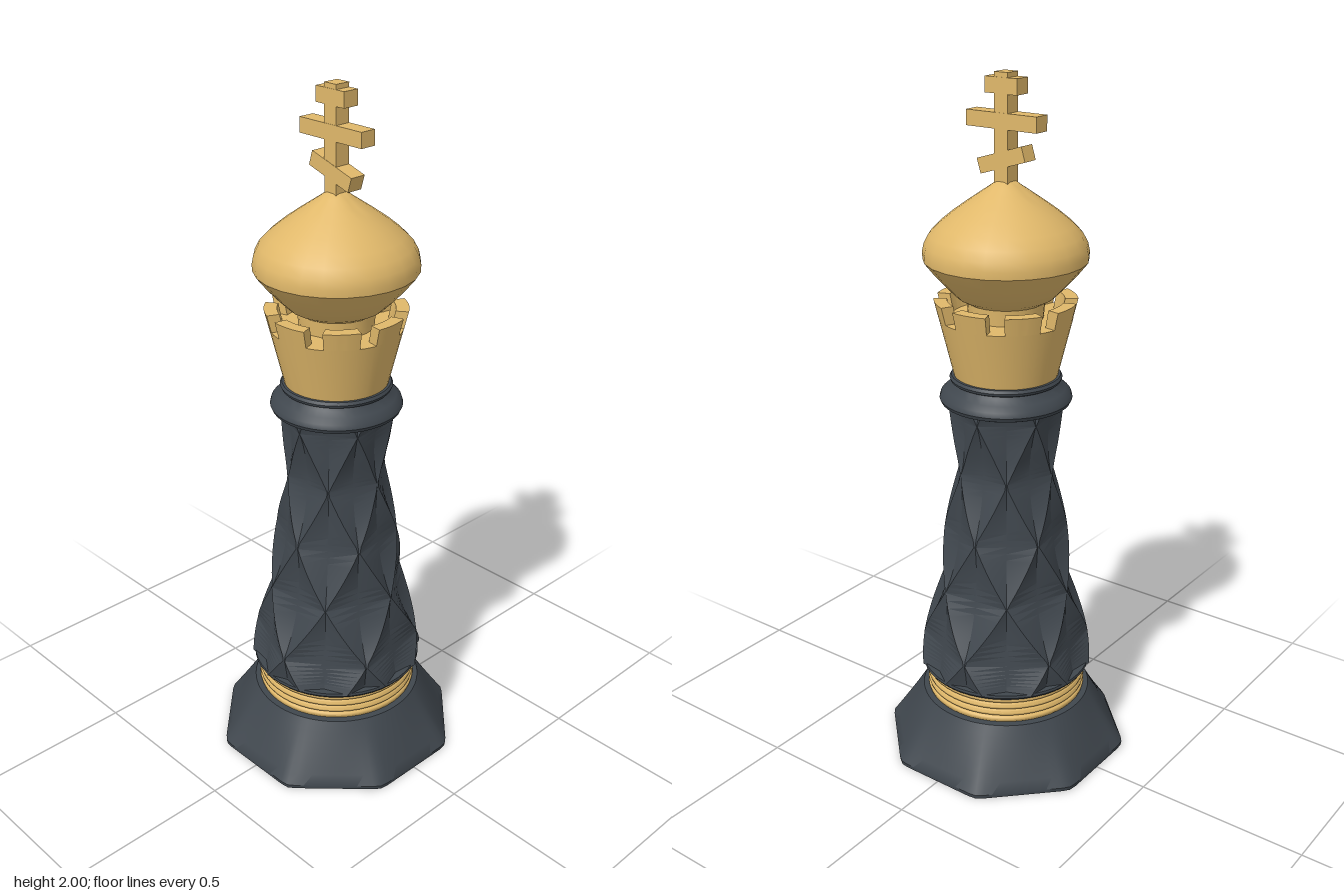
import * as THREE from 'three';
import { toCreasedNormals } from 'three/addons/utils/BufferGeometryUtils.js';

export function createModel() {
  const model = new THREE.Group();
  const dark = new THREE.MeshStandardMaterial({ color: 0x40474e, side: THREE.DoubleSide });
  dark.name = 'charcoal';
  const gold = new THREE.MeshStandardMaterial({ color: 0xe0b86a, side: THREE.DoubleSide });
  gold.name = 'gold';

  const add = (name, geometry, material, parent = model) => {
    const mesh = new THREE.Mesh(geometry, material);
    mesh.name = name;
    parent.add(mesh);
    return mesh;
  };
  // Turned part from [radius, height] pairs, with sharp edges above the crease angle
  const turned = (points, segments = 48, crease = 0.6) => {
    const g = new THREE.LatheGeometry(points.map(([r, y]) => new THREE.Vector2(r, y)),
      segments, Math.PI / segments);
    return toCreasedNormals(g, crease);
  };
  // Skin over stacked rings; each ring is a closed loop of [angle, radius] at height y
  const loft = (rings) => {
    const position = [], index = [], n = rings[0].loop.length;
    rings.forEach(({ y, loop }, i) => {
      loop.forEach(([a, r], j) => {
        position.push(r * Math.sin(a), y, r * Math.cos(a));
        if (i === 0) return;
        const k = (j + 1) % n, lo = (i - 1) * n, hi = i * n;
        index.push(lo + j, lo + k, hi + k, lo + j, hi + k, hi + j);
      });
    });
    const g = new THREE.BufferGeometry();
    g.setAttribute('position', new THREE.Float32BufferAttribute(position, 3));
    g.setIndex(index);
    g.computeVertexNormals();
    return g;
  };
  const rad = THREE.MathUtils.degToRad;

  // Hollow foot blending from an octagon to a circle
  const footRing = (y, apothem, round) => {
    const loop = [];
    for (let j = 0; j < 96; j++) {
      const a = j * Math.PI / 48;
      const off = a - Math.round(a / (Math.PI / 4)) * Math.PI / 4;
      const octagon = Math.min(apothem / Math.cos(off), apothem * 1.072);
      loop.push([a, THREE.MathUtils.lerp(octagon, apothem, round)]);
    }
    return { y, loop };
  };
  const foot = [footRing(0, 0.338, 0), footRing(0.012, 0.34, 0)];
  for (let i = 1; i <= 6; i++) foot.push(footRing(0.012 + 0.028 * i, 0.34 - 0.0148 * i, i / 6));
  foot.push(footRing(0.18, 0.215, 1));
  add('base', toCreasedNormals(loft(foot), 0.7), dark);

  // Stacked gold rings, open inside
  const rings = [[0.228, 0.175]];
  for (let i = 0; i < 4; i++) {
    const y = 0.18 + i * 0.0215;
    rings.push([0.228, y], [0.235, y + 0.003], [0.237, y + 0.01], [0.235, y + 0.017], [0.228, y + 0.02]);
  }
  rings.push([0.228, 0.27]);
  add('baseRings', turned(rings, 48, 1), gold);

  // Rim under the column
  add('columnRim', turned([[0.215, 0.265], [0.246, 0.265], [0.251, 0.272], [0.25, 0.28], [0.215, 0.28]]), dark);

  // Column: two hexagonal prisms twisting in opposite ways, joined into diamonds
  const profile = new THREE.SplineCurve([[0.257, 0.275], [0.245, 0.36], [0.206, 0.53], [0.179, 0.71],
    [0.15, 0.89], [0.153, 1.0], [0.166, 1.11]].map(([r, y]) => new THREE.Vector2(r, y)));
  const start = rad(7), step = Math.PI / 6, columnRings = [];
  for (let i = 0; i <= 56; i++) {
    const { x: r, y } = profile.getPoint(i / 56);
    const turn = THREE.MathUtils.euclideanModulo((y - 0.36) / 0.178, 2);
    const s = (1 - Math.abs(1 - turn)) * step;
    const flat = r * Math.cos(step);
    const loop = [];
    for (let k = 0; k < 6; k++) {
      const a = start + k * 2 * step;
      loop.push([a, flat / Math.cos(step - s)], [a + s, r],
        [a + step, flat / Math.cos(s)], [a + 2 * step - s, r]);
    }
    columnRings.push({ y, loop });
  }
  add('column', toCreasedNormals(loft(columnRings), 0.22), dark);

  // Moulded collar
  add('collar', turned([
    [0.13, 1.095], [0.168, 1.095], [0.182, 1.101], [0.187, 1.112], [0.183, 1.126], [0.168, 1.14],
    [0.152, 1.152], [0.147, 1.16], [0.155, 1.164], [0.158, 1.172], [0.153, 1.18], [0.13, 1.182]]), dark);

  // Flared cup with a floor and eight battlements
  const crown = new THREE.Group();
  crown.name = 'crown';
  model.add(crown);
  add('crownCup', turned([[0.14, 1.18], [0.146, 1.18], [0.186, 1.345], [0.08, 1.345]]), gold, crown);
  const half = rad(15);
  const sector = new THREE.Shape();
  sector.absarc(0, 0, 0.186, -half, half, false);
  sector.absarc(0, 0, 0.152, half, -half, true);
  sector.closePath();
  const block = new THREE.ExtrudeGeometry(sector, { depth: 0.05, bevelEnabled: false, curveSegments: 6 });
  block.rotateX(-Math.PI / 2);
  const p = block.attributes.position;
  for (let i = 0; i < p.count; i++) {
    const flare = 1 + p.getY(i) * 1.3;
    p.setXYZ(i, p.getX(i) * flare, p.getY(i), p.getZ(i) * flare);
  }
  const merlon = toCreasedNormals(block, 0.6);
  for (let i = 0; i < 8; i++) {
    const mesh = add('battlement', merlon, gold, crown);
    mesh.position.y = 1.345;
    mesh.rotation.y = rad(5.5 + 45 * i - 90);
  }

  // Onion dome with a crisp seam at its widest point
  add('dome', turned([
    [0.104, 1.34], [0.108, 1.39], [0.135, 1.405], [0.165, 1.435], [0.195, 1.468], [0.226, 1.507],
    [0.227, 1.527], [0.222, 1.55], [0.208, 1.577], [0.183, 1.603], [0.148, 1.632],
    [0.108, 1.661], [0.07, 1.687], [0.042, 1.706], [0.026, 1.718], [0.001, 1.721]], 24, 0.55), gold);

  // Three-barred finial
  const finial = new THREE.Group();
  finial.name = 'finial';
  model.add(finial);
  const bar = (name, w, h, d, y, tilt = 0) => {
    const mesh = add(name, new THREE.BoxGeometry(w, h, d), gold, finial);
    mesh.position.y = y;
    mesh.rotation.z = tilt;
  };
  bar('finialPost', 0.044, 0.29, 0.046, 1.855);
  bar('finialTopBar', 0.104, 0.042, 0.048, 1.966);
  bar('finialMainBar', 0.228, 0.042, 0.048, 1.876);
  bar('finialSlantedBar', 0.152, 0.042, 0.048, 1.775, -0.3);

  return model;
}
